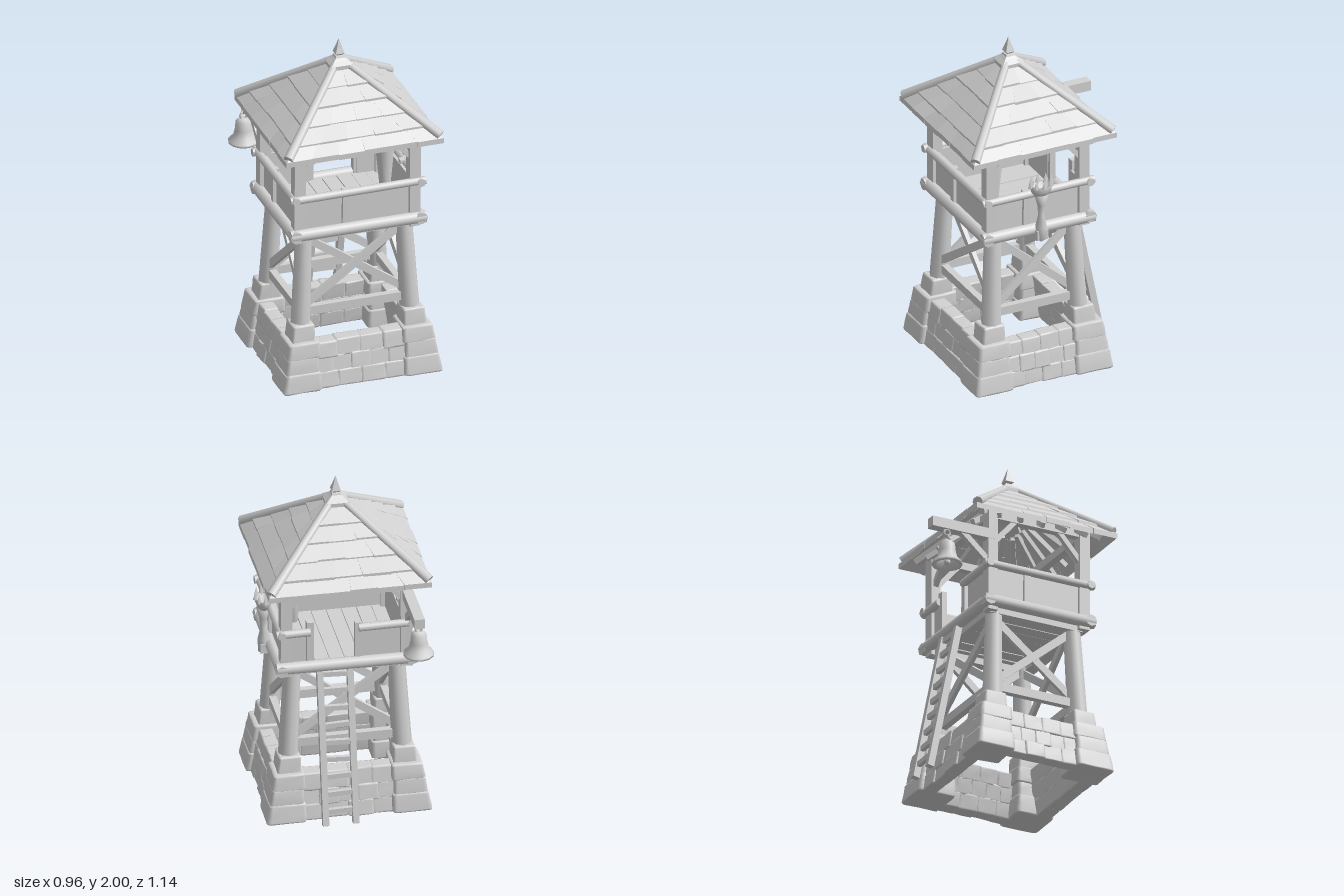
import * as THREE from 'three';
import { mergeVertices } from 'three/addons/utils/BufferGeometryUtils.js';

const stone = new THREE.MeshStandardMaterial({ color: 0xd2d2d2, side: THREE.DoubleSide });
stone.name = 'pale grey';

export function createModel() {
  const model = new THREE.Group();
  model.name = 'watchtower';
  const tower = new THREE.Group();
  tower.name = 'tower';
  tower.position.z = 0.115;
  model.add(tower);

  let seed = 7;
  const rnd = (a) => {
    seed = (seed * 16807) % 2147483647;
    return (seed / 2147483647 - 0.5) * 2 * a;
  };
  const V = (x, y, z) => new THREE.Vector3(x, y, z);
  const lerp = THREE.MathUtils.lerp;
  const add = (name, geo, parent = tower) => {
    const m = new THREE.Mesh(geo, stone);
    m.name = name;
    parent.add(m);
    return m;
  };
  const lathe = (points, sides) => new THREE.LatheGeometry(points.map(([r, y]) => new THREE.Vector2(r, y)), sides);

  // point on side k (0 front, 1 left, 2 back, 3 right): u along the side, v outwards
  const at = (k, u, v, y, sx = 1, sz = 1) => {
    const [a, b] = [[u, v], [v, -u], [-u, -v], [-v, u]][k];
    return V(a * sx, y, b * sz);
  };

  // six-sided block; corner(sx, sy, sz) gives each corner for signs of -1 or 1
  const block = (name, corner, jitter = 0) => {
    const geo = new THREE.BoxGeometry(2, 2, 2), p = geo.attributes.position, cache = {};
    for (let i = 0; i < p.count; i++) {
      const s = [p.getX(i), p.getY(i), p.getZ(i)], key = s.join();
      cache[key] ??= corner(...s).add(V(rnd(jitter), rnd(jitter), rnd(jitter)));
      p.setXYZ(i, ...cache[key].toArray());
    }
    geo.computeVertexNormals();
    return add(name, geo);
  };

  // worn stone: the same block with softened edges and smooth normals
  const wornStone = (name, corner) => {
    const box = new THREE.BoxGeometry(2, 2, 2, 4, 4, 4);
    box.deleteAttribute('uv');
    box.deleteAttribute('normal');
    const geo = mergeVertices(box), p = geo.attributes.position;
    for (let i = 0; i < p.count; i++) {
      const s = [p.getX(i), p.getY(i), p.getZ(i)];
      const edges = s.filter((c) => Math.abs(c) === 1).length - 1;
      const q = s.map((c) => (Math.abs(c) === 1 ? c * (1 - 0.03 * edges) : c * 1.6));
      const pos = V(0, 0, 0);
      for (const x of [-1, 1]) for (const y of [-1, 1]) for (const z of [-1, 1])
        pos.addScaledVector(corner(x, y, z), (1 + x * q[0]) * (1 + y * q[1]) * (1 + z * q[2]) / 8);
      p.setXYZ(i, pos.x + rnd(0.002), Math.max(0, pos.y + rnd(0.002)), pos.z + rnd(0.002));
    }
    geo.computeVertexNormals();
    return add(name, geo);
  };

  // squared timber from a to b
  const beam = (name, a, b, w, h) => {
    const m = add(name, new THREE.BoxGeometry(w, h, a.distanceTo(b)));
    m.position.copy(a).add(b).multiplyScalar(0.5);
    m.lookAt(b.clone().add(tower.position));
    return m;
  };

  // rounded timber from a to b
  const log = (name, a, b, ra, rb = ra) => {
    const m = add(name, new THREE.CylinderGeometry(rb, ra, a.distanceTo(b), 8, 1));
    m.position.copy(a).add(b).multiplyScalar(0.5);
    m.quaternion.setFromUnitVectors(V(0, 1, 0), b.clone().sub(a).normalize());
    return m;
  };
  const corners = [[1, 1], [1, -1], [-1, -1], [-1, 1]];

  // stone corner piers, in courses: y0, y1, outer x and z at y0 and at y1, inner x and z
  const courses = [
    [0, 0.115, 0.48, 0.435, 0.46, 0.418, 0.25, 0.2],
    [0.105, 0.205, 0.458, 0.415, 0.443, 0.402, 0.26, 0.21],
    [0.195, 0.29, 0.445, 0.403, 0.43, 0.391, 0.25, 0.2],
    [0.28, 0.385, 0.405, 0.36, 0.393, 0.348, 0.268, 0.218],
  ];
  for (const [cx, cz] of corners)
    for (const [y0, y1, ox0, oz0, ox1, oz1, ix, iz] of courses)
      wornStone('cornerStone', (x, y, z) => V(
        cx * (x * cx > 0 ? (y < 0 ? ox0 : ox1) : ix), y < 0 ? y0 : y1,
        cz * (z * cz > 0 ? (y < 0 ? oz0 : oz1) : iz)));

  // low battered walls of staggered stones
  for (let k = 0; k < 4; k++) {
    const len = k % 2 ? 0.23 : 0.28, out = k % 2 ? 0.453 : 0.407;
    for (let r = 0; r < 3; r++) {
      const n = 4 + (r % 2), y0 = Math.max(0, r * 0.09 - 0.005), y1 = r * 0.09 + 0.095;
      for (let i = 0; i < n; i++) {
        const u0 = lerp(-len, len, i / n) - 0.004, u1 = lerp(-len, len, (i + 1) / n) + 0.004;
        const push = rnd(0.007), lift = r === 2 ? rnd(0.008) : 0;
        wornStone('wallStone', (x, y, z) => {
          const h = y < 0 ? y0 : y1 + lift;
          return at(k, x < 0 ? u0 : u1, (z > 0 ? out + push : out - 0.085) - h * 0.16, h);
        });
      }
    }
  }

  // legs, roof posts and knee braces
  for (const [cx, cz] of corners) {
    log('leg', V(cx * 0.33, 0.34, cz * 0.275), V(cx * 0.3, 0.95, cz * 0.25), 0.06, 0.05);
    block('roofPost', (x, y, z) => V(cx * 0.347 + x * 0.033, y < 0 ? 0.9 : 1.52, cz * 0.294 + z * 0.032), 0.003);
    beam('kneeBrace', V(cx * 0.33, 1.33, cz * 0.294), V(cx * 0.18, 1.49, cz * 0.294), 0.03, 0.03);
    beam('kneeBrace', V(cx * 0.347, 1.33, cz * 0.28), V(cx * 0.347, 1.49, cz * 0.14), 0.03, 0.03);
  }

  // cross bracing, rails, parapet and roof plate on each side
  for (let k = 0; k < 4; k++) {
    const hu = k % 2 ? 0.294 : 0.347, hv = k % 2 ? 0.347 : 0.294;
    const b = hu - 0.05;
    beam('tieBeam', at(k, -b - 0.02, hv - 0.025, 0.445), at(k, b + 0.02, hv - 0.025, 0.445), 0.04, 0.052);
    for (const s of [-1, 1])
      beam('crossBrace', at(k, -s * b, hv - 0.03 + s * 0.012, 0.49), at(k, s * (b - 0.02), hv - 0.055 + s * 0.012, 0.88), 0.025, 0.045);
    const e = hu + 0.06, o = hv + 0.03;
    log('floorRail', at(k, -e, o, 0.953 + rnd(0.006)), at(k, e, o, 0.953 + rnd(0.006)), 0.036);
    beam('floorJoist', at(k, -hu, hv - 0.02, 0.915), at(k, hu, hv - 0.02, 0.915), 0.05, 0.04);
    beam('roofPlate', at(k, -hu - 0.03, hv, 1.5), at(k, hu + 0.03, hv, 1.5), 0.045, 0.045);
    // the back has a gap where the ladder arrives
    const spans = k === 2 ? [[-e, -0.21], [0.07, e]] : [[-e, e]];
    for (const [u0, u1] of spans) {
      log('handRail', at(k, u0, o, 1.182 + rnd(0.005)), at(k, u1, o, 1.182 + rnd(0.005)), 0.024);
      const p0 = Math.max(u0, -hu), p1 = Math.min(u1, hu);
      beam('parapetBoard', at(k, p0, hv, 1.07), at(k, p1, hv, 1.07), 0.02, 0.215);
    }
    const studs = k === 2 ? [[-0.21, 1.24], [0.07, 1.21]] : [[-0.07, 1.2]];
    for (const [u, top] of studs)
      block('parapetStud', (x, y, z) => at(k, u + x * 0.02, hv + 0.012 + z * 0.018, y < 0 ? 0.93 : top), 0.002);
    // rafters with tails under the eaves
    for (const u of [-0.28, -0.14, 0, 0.14, 0.28])
      beam('rafter', at(k, u, hv + 0.08, 1.47), at(k, u * 0.45, hv - 0.17, 1.66), 0.025, 0.03);
  }

  // floor planks
  for (let i = 0; i < 8; i++) {
    const x = -0.306 + i * 0.0875;
    beam('floorPlank', V(x, 0.95, -0.32), V(x, 0.95, 0.31), 0.084, 0.025).position.y += rnd(0.004);
  }

  // roof boards in overlapping tiers: half width and height of each step
  const steps = [[1, 1.485], [0.85, 1.547], [0.67, 1.617], [0.49, 1.69], [0.31, 1.758], [0.1, 1.835]];
  for (let k = 0; k < 4; k++)
    for (let t = 0; t < 5; t++) {
      const [s0, y0] = steps[t], [s1, y1] = steps[t + 1], n = 6 - t;
      for (let i = 0; i < n; i++) {
        const drop = rnd(0.008), lift = rnd(0.004);
        block('roofBoard', (x, y, z) => {
          const f = -1 + 2 * (x < 0 ? i : i + 1) / n;
          const s = y < 0 ? s0 + (t ? 0.015 : 0) + drop : s1;
          const h = y < 0 ? y0 - 0.004 + lift : y1;
          return at(k, f * s, s, h + (z > 0 ? (y < 0 ? 0.018 : 0.008) : -0.014), 0.472, 0.451);
        });
      }
    }

  // hip ridges with rafters beneath
  for (const [cx, cz] of corners) {
    log('hipRidge', V(cx * 0.458, 1.51, cz * 0.437), V(cx * 0.035, 1.85, cz * 0.033), 0.03, 0.024);
    beam('hipRafter', V(cx * 0.4, 1.49, cz * 0.38), V(cx * 0.05, 1.775, cz * 0.05), 0.03, 0.04);
  }

  // four-sided finial and its cap
  const finial = add('finial', lathe([
    [0, 1.81], [0.094, 1.828], [0.095, 1.852], [0.06, 1.872], [0.04, 1.885], [0.034, 1.895], [0.02, 1.897],
    [0.038, 1.91], [0.022, 1.945], [0, 2],
  ], 4).toNonIndexed());
  finial.geometry.computeVertexNormals();
  finial.rotation.y = Math.PI / 4;

  // leaning ladder
  const ladder = (x, y) => V(x, y, lerp(-0.515, -0.325, y / 0.95));
  for (const x of [-0.018, 0.157]) beam('ladderRail', ladder(x, 0.015), ladder(x, 0.96), 0.036, 0.04);
  for (let i = 0; i < 9; i++) {
    const y = 0.1 + i * 0.1;
    beam('ladderRung', ladder(-0.03, y + rnd(0.006)), ladder(0.17, y + rnd(0.006)), 0.024, 0.03);
  }

  // bell arm, brace, hanger and bell
  beam('bellArm', V(-0.353, 1.37, -0.28), V(-0.353, 1.37, -0.685), 0.06, 0.06);
  beam('bellBrace', V(-0.353, 1.2, -0.31), V(-0.353, 1.36, -0.49), 0.032, 0.035);
  const bell = new THREE.Group();
  bell.name = 'bell';
  bell.position.set(-0.367, 0, -0.585);
  tower.add(bell);
  add('bellBody', lathe([
    [0, 1.27], [0.025, 1.268], [0.045, 1.25], [0.05, 1.2], [0.06, 1.16], [0.088, 1.132],
    [0.088, 1.118], [0.07, 1.12], [0.045, 1.16], [0.035, 1.235], [0, 1.245],
  ], 12), bell);
  add('bellClapper', new THREE.SphereGeometry(0.02, 8, 6), bell).position.y = 1.135;
  add('bellClapperRod', new THREE.CylinderGeometry(0.006, 0.006, 0.11, 6), bell).position.y = 1.19;
  for (const [y, turn] of [[1.285, 0], [1.32, Math.PI / 2]]) {
    const ring = add('bellRing', new THREE.TorusGeometry(0.019, 0.007, 6, 10), bell);
    ring.position.y = y;
    ring.rotation.y = turn;
  }

  // fire basket on a bracket at the left side
  const torch = new THREE.Group();
  torch.name = 'fireBasket';
  torch.position.set(0.418, 0, 0);
  tower.add(torch);
  add('basketStem', lathe([
    [0, 0.88], [0.03, 0.9], [0.034, 0.98], [0.018, 1.05], [0.024, 1.12], [0.042, 1.185], [0, 1.19],
  ], 8), torch);
  const bowl = new THREE.Group();
  bowl.name = 'basketBowl';
  bowl.scale.x = 0.72;
  torch.add(bowl);
  add('basketCup', lathe([
    [0, 1.175], [0.04, 1.18], [0.062, 1.21], [0.07, 1.245], [0.058, 1.245], [0.045, 1.215], [0, 1.21],
  ], 10), bowl);
  for (let i = 0; i < 8; i++) {
    const a = i * Math.PI / 4, spike = add('basketSpike', new THREE.ConeGeometry(0.018, 0.06, 4), bowl);
    spike.position.set(Math.cos(a) * 0.064, 1.268, Math.sin(a) * 0.064);
  }
  beam('basketBracket', V(0.34, 0.93, 0), V(0.44, 0.93, 0), 0.07, 0.06);

  // flared storage vessel on the platform
  add('vessel', lathe([
    [0, 0.96], [0.03, 0.96], [0.036, 1.15], [0.058, 1.37], [0.045, 1.42], [0, 1.425],
  ], 8)).position.set(0.208, 0, 0.2);

  return model;
}
